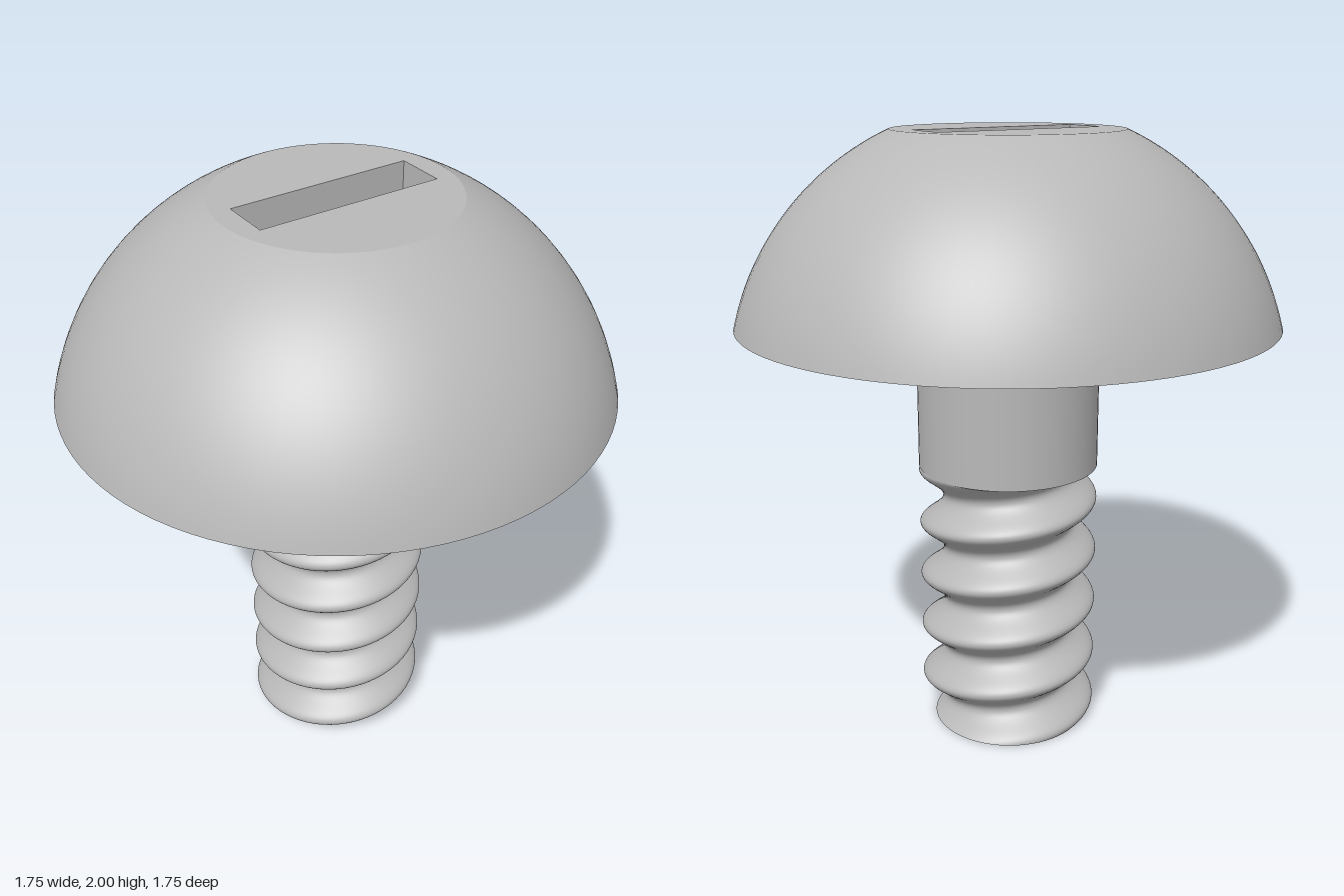
import * as THREE from 'three';

const HEAD_Y = 1.4, HEAD_R = 0.873, TOP_Y = 2, TOP_R = 0.37;
const SHANK_R = 0.3, THREAD_TOP = 0.91;
const CORE_R = 0.26, OFFSET = 0.04, PITCH = 0.188, CREST_Y = 0.155;
const SLOT = { w: 0.6, d: 0.16, h: 0.2 };

export function createModel() {
  const model = new THREE.Group();
  const steel = new THREE.MeshStandardMaterial({ color: 0xb8b8b8 });
  steel.name = 'steel grey';

  const add = (name, geometry, y = 0) => {
    const mesh = new THREE.Mesh(geometry, steel);
    mesh.name = name;
    mesh.position.y = y;
    model.add(mesh);
    return mesh;
  };

  // Head: spherical dome cut flat at the top
  const c = (TOP_R ** 2 + TOP_Y ** 2 - HEAD_R ** 2 - HEAD_Y ** 2) / (2 * (TOP_Y - HEAD_Y));
  const R = Math.hypot(HEAD_R, HEAD_Y - c);
  const a0 = Math.atan2(HEAD_Y - c, HEAD_R), a1 = Math.atan2(TOP_Y - c, TOP_R);
  const arc = [];
  for (let i = 0; i <= 32; i++) {
    const a = a0 + (a1 - a0) * i / 32;
    arc.push(new THREE.Vector2(R * Math.cos(a), c + R * Math.sin(a)));
  }
  add('headDome', new THREE.LatheGeometry(arc, 96));
  add('headUnderside', new THREE.RingGeometry(SHANK_R, HEAD_R, 96).rotateX(Math.PI / 2), HEAD_Y);

  // Flat top with the slot opening
  const disc = new THREE.Shape().absarc(0, 0, TOP_R, 0, Math.PI * 2);
  const { w, d, h } = SLOT;
  disc.holes.push(new THREE.Path([[-w, -d], [-w, d], [w, d], [w, -d]]
    .map(([x, y]) => new THREE.Vector2(x / 2, y / 2))));
  add('headTop', new THREE.ShapeGeometry(disc, 48).rotateX(-Math.PI / 2), TOP_Y);

  // Slot recess: an inside-out box without its lid
  const recess = new THREE.BoxGeometry(w, h, d);
  const index = [...recess.index.array];
  index.splice(12, 6);
  recess.setIndex(index.reverse());
  recess.clearGroups();
  const rn = recess.attributes.normal;
  for (let i = 0; i < rn.count; i++) rn.setXYZ(i, -rn.getX(i), -rn.getY(i), -rn.getZ(i));
  add('slotRecess', recess, TOP_Y - h / 2);

  // Plain shank
  const shankH = HEAD_Y - THREAD_TOP;
  add('shank', new THREE.CylinderGeometry(SHANK_R, SHANK_R, shankH, 64, 1, true), THREAD_TOP + shankH / 2);
  add('shankUnderside', new THREE.CircleGeometry(SHANK_R, 64).rotateX(Math.PI / 2), THREAD_TOP);

  // Thread: an off-centre circle twisted as it rises
  const turn = y => (CREST_Y - y) / PITCH * Math.PI * 2;
  const thread = new THREE.CylinderGeometry(CORE_R, CORE_R, THREAD_TOP, 64, 180, true);
  thread.translate(0, THREAD_TOP / 2, 0);
  const p = thread.attributes.position, n = thread.attributes.normal;
  const slope = -Math.PI * 2 / PITCH * OFFSET;
  for (let i = 0; i < p.count; i++) {
    const t = turn(p.getY(i)), nx = n.getX(i), nz = n.getZ(i);
    p.setX(i, p.getX(i) + OFFSET * Math.cos(t));
    p.setZ(i, p.getZ(i) + OFFSET * Math.sin(t));
    const ny = -slope * (nz * Math.cos(t) - nx * Math.sin(t));
    const len = Math.hypot(1, ny);
    n.setXYZ(i, nx / len, ny / len, nz / len);
  }
  add('thread', thread);

  // Flat end of the thread
  const tip = add('threadEnd', new THREE.CircleGeometry(CORE_R, 64).rotateX(Math.PI / 2));
  tip.position.set(OFFSET * Math.cos(turn(0)), 0, OFFSET * Math.sin(turn(0)));

  return model;
}
